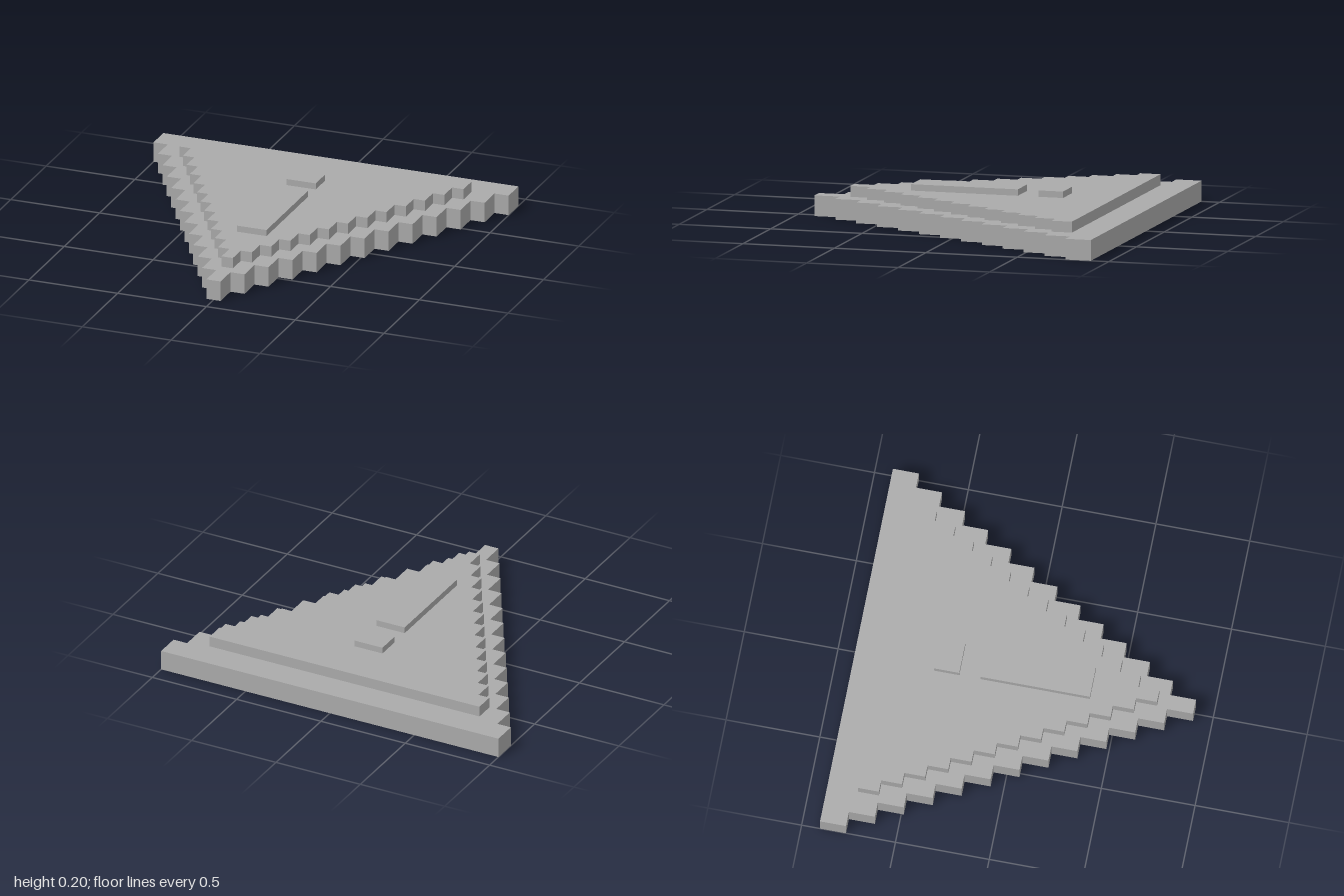
import * as THREE from 'three';

const ROWS = 13;

// Stepped triangular slab: widest row at zBack, narrowing evenly to zFront
function steppedSlab(name, halfWidth, zBack, zFront, yBottom, yTop, material) {
  const depth = (zFront - zBack) / ROWS;
  const right = [];
  for (let i = 0; i < ROWS; i++) {
    const x = halfWidth * (1 - (2 * i) / (2 * ROWS - 1));
    right.push([x, zBack + i * depth], [x, zBack + (i + 1) * depth]);
  }
  const left = right.map(([x, z]) => [-x, z]).reverse();
  const outline = [...right, ...left].map(([x, z]) => new THREE.Vector2(x, -z));
  const geometry = new THREE.ExtrudeGeometry(new THREE.Shape(outline), {
    depth: yTop - yBottom,
    bevelEnabled: false,
  });
  geometry.rotateX(-Math.PI / 2); // lay the outline flat, extruded upwards
  geometry.translate(0, yBottom, 0);
  const mesh = new THREE.Mesh(geometry, material);
  mesh.name = name;
  return mesh;
}

// Low centred block on the upper deck
function deckBlock(name, width, zBack, zFront, yBottom, yTop, material) {
  const mesh = new THREE.Mesh(
    new THREE.BoxGeometry(width, yTop - yBottom, zFront - zBack), material);
  mesh.position.set(0, (yBottom + yTop) / 2, (zBack + zFront) / 2);
  mesh.name = name;
  return mesh;
}

export function createModel() {
  const model = new THREE.Group();
  model.name = 'steppedWedge';
  const grey = new THREE.MeshStandardMaterial({ color: 0xaaaaaa });
  grey.name = 'hull grey';

  model.add(
    steppedSlab('lowerHull', 1, -0.902, 0.9, 0, 0.11, grey),
    steppedSlab('upperDeck', 0.8, -0.738, 0.706, 0.11, 0.168, grey),
    deckBlock('longRidge', 0.166, -0.225, 0.358, 0.168, 0.202, grey),
    deckBlock('rearBlock', 0.166, -0.472, -0.338, 0.168, 0.202, grey),
  );
  return model;
}
